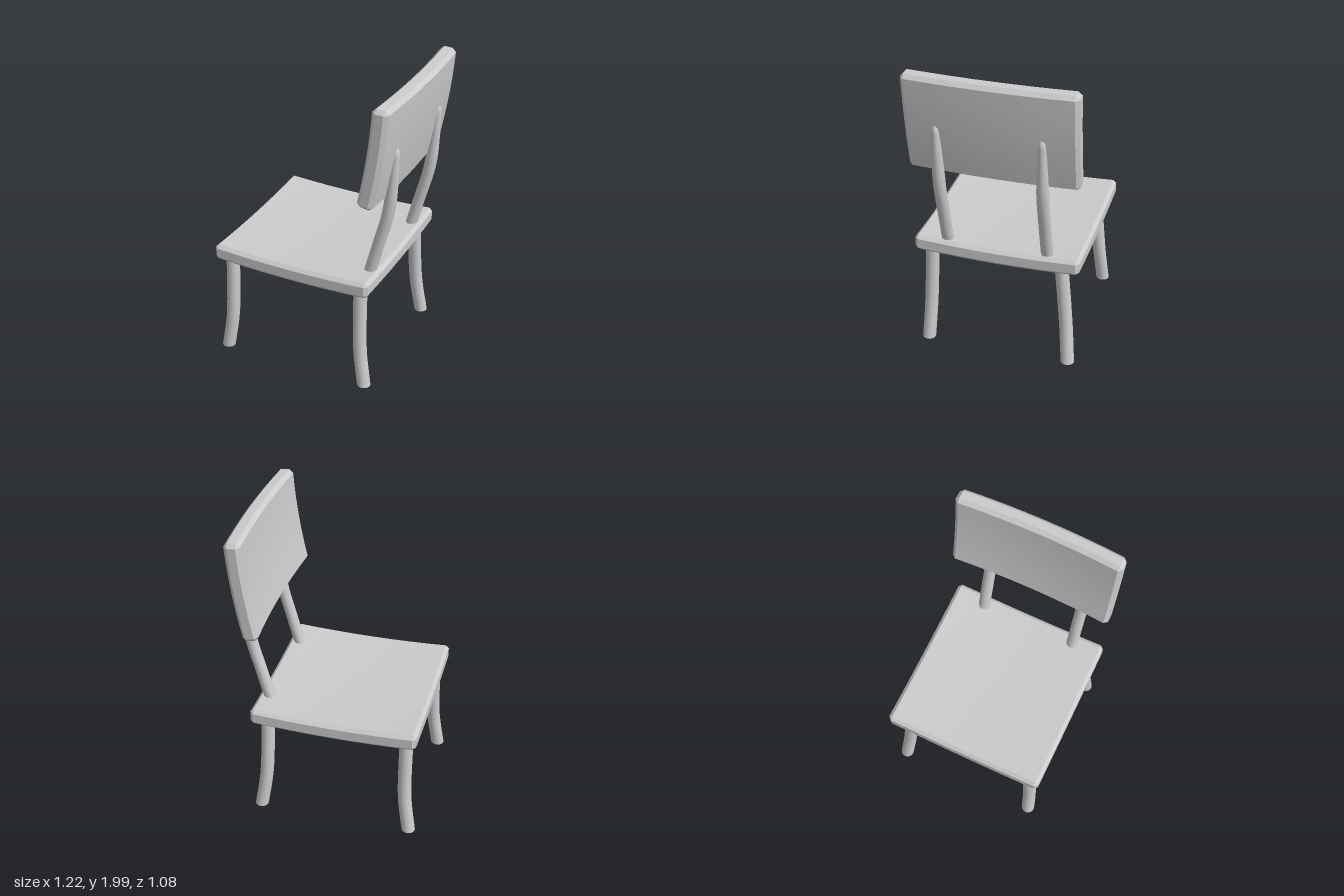
import * as THREE from 'three';
import { toCreasedNormals } from 'three/addons/utils/BufferGeometryUtils.js';

const material = new THREE.MeshStandardMaterial({ color: 0xcccccc });

// Subdivided box with flat chamfers; bend(v) then moves each vertex.
function chamferedSlab(half, segments, chamfer, bend) {
  const geometry = new THREE.BoxGeometry(2, 2, 2, ...segments);
  const pos = geometry.attributes.position;
  const v = new THREE.Vector3();
  for (let i = 0; i < pos.count; i++) {
    v.fromBufferAttribute(pos, i);
    const c = v.toArray();
    const extremes = c.filter((a) => Math.abs(a) > 0.999).length;
    const pull = [0, 0, chamfer / 2, (chamfer * 2) / 3][extremes];
    const out = c.map((a, k) => {
      if (Math.abs(a) > 0.999) return Math.sign(a) * (half[k] - pull);
      const n = segments[k];
      const index = Math.round(((a + 1) / 2) * n);
      return (half[k] - chamfer) * ((2 * (index - 1)) / (n - 2) - 1);
    });
    v.fromArray(out);
    bend(v);
    pos.setXYZ(i, v.x, v.y, v.z);
  }
  return toCreasedNormals(geometry, 0.5);
}

// Round rod following a curve from bottom to top, radius given along its length.
function bentRod(points, radiusAt, rows = 12) {
  const curve = new THREE.CatmullRomCurve3(points.map((p) => new THREE.Vector3(...p)));
  const geometry = new THREE.CylinderGeometry(1, 1, 1, 20, rows);
  const pos = geometry.attributes.position;
  for (let i = 0; i < pos.count; i++) {
    const t = pos.getY(i) + 0.5;
    const p = curve.getPoint(t);
    const r = radiusAt(t);
    pos.setXYZ(i, p.x + pos.getX(i) * r, p.y, p.z + pos.getZ(i) * r);
  }
  return toCreasedNormals(geometry, 0.8);
}

export function createModel() {
  const group = new THREE.Group();
  const add = (name, geometry) => {
    const mesh = new THREE.Mesh(geometry, material);
    mesh.name = name;
    group.add(mesh);
  };

  // Seat, dished towards the middle in both directions
  add('seat', chamferedSlab([0.54, 0.054, 0.542], [10, 3, 10], 0.022, (v) => {
    const dip = 2 - (v.x / 0.54) ** 2 - (v.z / 0.542) ** 2;
    v.y += 0.755 - 0.018 * dip;
    v.x -= 0.06;
  }));

  // Backrest, leaning and curved both upwards and across
  add('backrest', chamferedSlab([0.052, 0.33, 0.542], [3, 10, 10], 0.024, (v) => {
    const s = (v.y + 0.33) / 0.66;
    const slope = (0.15 - 0.11 * s) / 0.66;
    const len = Math.hypot(1, slope);
    const bow = 0.022 * (1 - (v.z / 0.542) ** 2);
    const t = v.x;
    v.x = 0.444 + 0.15 * s - 0.055 * s * s + t / len + bow;
    v.y = 1.33 + 0.66 * s - (t * slope) / len;
  }));

  // Four legs, splayed and bowed outwards at the foot
  const legZ = { left: [0.48, 0.445], right: [-0.478, -0.41] };
  const legX = { front: [-0.563, -0.527, -0.519, -0.519], back: [0.444, 0.41, 0.4, 0.398] };
  for (const [end, xs] of Object.entries(legX)) {
    for (const [side, [foot, top]] of Object.entries(legZ)) {
      const points = xs.map((x, i) => [x, 0.245 * i, foot + ((top - foot) * i) / 3]);
      add(`${end}Leg ${side}`, bentRod(points, () => 0.044));
    }
  }

  // Two tapering spindles carrying the backrest
  const taper = (t) => {
    const body = t < 0.6 ? 0.039 : 0.039 - 0.016 * ((t - 0.6) / 0.4);
    return t > 0.95 ? body * Math.sqrt(Math.max(0.02, 1 - ((t - 0.95) / 0.05) ** 2)) : body;
  };
  for (const [side, z] of [['left', 0.335], ['right', -0.322]]) {
    const points = [[0.405, 0.76, z], [0.465, 0.99, z], [0.523, 1.22, z], [0.55, 1.45, z], [0.564, 1.68, z]];
    add(`spindle ${side}`, bentRod(points, taper, 40));
  }

  return group;
}
